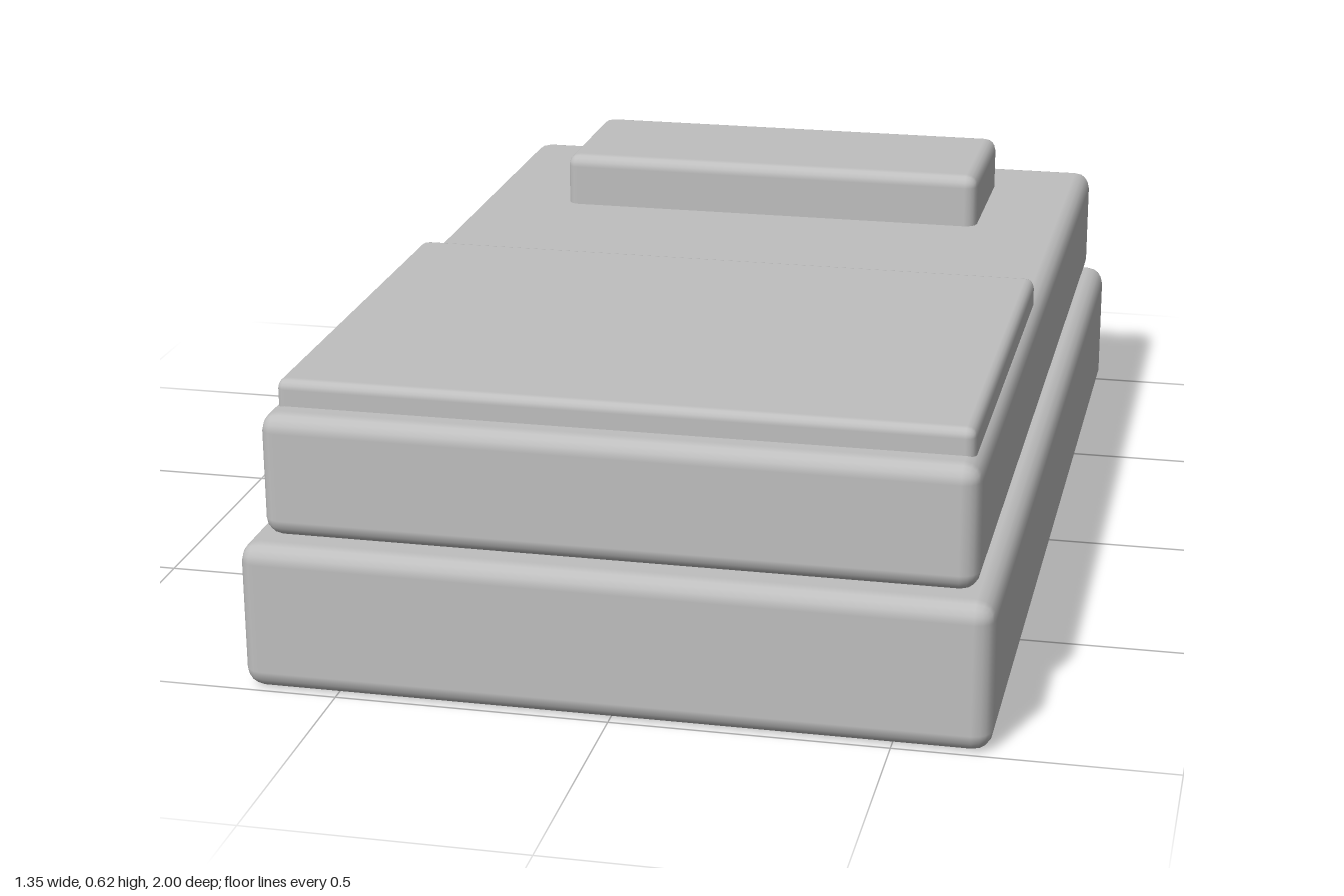
import * as THREE from 'three';
import { RoundedBoxGeometry } from 'three/addons/geometries/RoundedBoxGeometry.js';

export function createModel() {
  const model = new THREE.Group();
  model.name = 'bed';

  const grey = new THREE.MeshStandardMaterial({ color: 0xbfbfbf });
  grey.name = 'light grey';

  // Soft-edged slab given by its width and its y and z extents
  function slab(name, width, [y0, y1], [z0, z1], radius) {
    const geometry = new RoundedBoxGeometry(width, y1 - y0, z1 - z0, 2, radius);
    const mesh = new THREE.Mesh(geometry, grey);
    mesh.name = name;
    mesh.position.set(0, (y0 + y1) / 2, (z0 + z1) / 2);
    model.add(mesh);
  }

  slab('bedBase', 1.346, [0, 0.276], [-1, 1], 0.035);
  slab('mattress', 1.276, [0.278, 0.508], [-0.957, 0.957], 0.033);

  // Blanket and pillow sink slightly into the mattress
  slab('blanket', 1.242, [0.465, 0.556], [0.02, 0.9], 0.018);
  slab('pillow', 0.886, [0.46, 0.615], [-0.803, -0.458], 0.025);

  return model;
}
